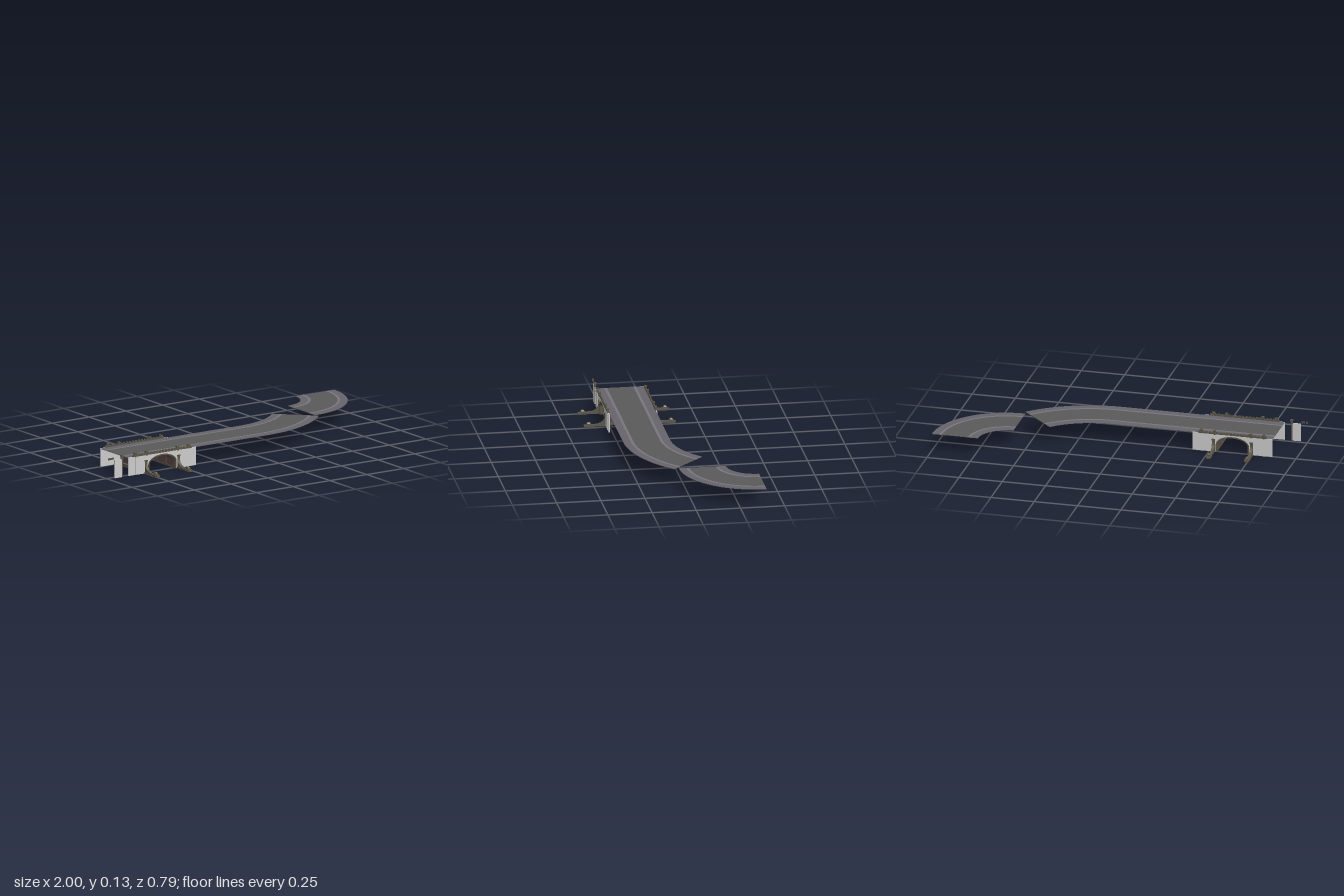
import * as THREE from 'three';

const mat = (color) => new THREE.MeshStandardMaterial({ color, flatShading: true, side: THREE.DoubleSide });
const GREY = mat(0xcccccc), ASPHALT = mat(0x5a5a5a), EDGE = mat(0x67646b), STRIPE = mat(0x77767c);
const STONE = mat(0x5c5648), BRICK = mat(0x5d474a);

const WIDTH = 0.265, DECK = 0.105, CX = -0.635; // road width, road height, bridge centre

function add(parent, name, geometry, material) {
  const mesh = new THREE.Mesh(geometry, material);
  mesh.name = name;
  parent.add(mesh);
  return mesh;
}

// Box given by its limits
function box(parent, name, material, x0, x1, y0, y1, z0, z1) {
  const g = new THREE.BoxGeometry(x1 - x0, y1 - y0, z1 - z0);
  g.translate((x0 + x1) / 2, (y0 + y1) / 2, (z0 + z1) / 2);
  return add(parent, name, g, material);
}

const extrude = (shape, depth) =>
  new THREE.ExtrudeGeometry(shape, { depth, bevelEnabled: false, curveSegments: 14 });

// Road bands across the width: [start, end, material, name]
const BANDS = [
  [0, 0.043, EDGE, 'roadEdge'],
  [0.043, 0.058, STRIPE, 'roadStripe'],
  [0.058, WIDTH - 0.058, ASPHALT, 'roadLane'],
  [WIDTH - 0.058, WIDTH - 0.043, STRIPE, 'roadStripe'],
  [WIDTH - 0.043, WIDTH, EDGE, 'roadEdge'],
];

function curvedRoad(name, cx, cz, inner, sweep) {
  const road = new THREE.Group();
  road.name = name;
  for (const [a, b, material, part] of BANDS) {
    const s = new THREE.Shape();
    const start = -Math.PI / 2;
    s.absarc(cx, -cz, inner + b, start, start + sweep, false);
    s.absarc(cx, -cz, inner + a, start + sweep, start, true);
    const g = extrude(s, 0.003);
    g.rotateX(-Math.PI / 2).translate(0, DECK - 0.003, 0);
    add(road, part, g, material);
  }
  return road;
}

function straightRoad(x0, x1) {
  const road = new THREE.Group();
  road.name = 'straightRoad';
  for (const [a, b, material, part] of BANDS) box(road, part, material, x0, x1, DECK - 0.003, DECK, a, b);
  return road;
}

// Arch outline from left foot to right foot
function archPoints(half, spring, top, y0 = 0) {
  const pts = [[CX - half, y0]];
  for (let i = 0; i <= 16; i++) {
    const a = Math.PI * (1 - i / 16);
    pts.push([CX + half * Math.cos(a), spring + (top - spring) * Math.sin(a)]);
  }
  pts.push([CX + half, y0]);
  return pts.map(([x, y]) => new THREE.Vector2(x, y));
}

// Band following the arch, running from z0 to z1
function archBand(parent, name, material, inset, thick, z0, z1, y0 = 0) {
  const outer = archPoints(0.09 + inset + thick, 0.045, 0.09 + inset + thick, y0);
  const inner = archPoints(0.09 + inset, 0.045, 0.09 + inset, y0).reverse();
  const g = extrude(new THREE.Shape([...outer, ...inner]), z1 - z0);
  g.translate(0, 0, z0);
  add(parent, name, g, material);
}

// Curved foot sweeping out from the wall, with base plate and capped end
function buttress(x) {
  const b = new THREE.Group();
  b.name = 'buttress';
  const s = new THREE.Shape();
  s.moveTo(0, 0);
  s.lineTo(0, 0.07);
  s.lineTo(0.008, 0.062);
  s.bezierCurveTo(0.009, 0.035, 0.025, 0.014, 0.062, 0.012);
  s.lineTo(0.125, 0.01);
  s.lineTo(0.125, 0);
  const g = extrude(s, 0.016);
  g.rotateY(-Math.PI / 2).translate(0.008, 0, 0);
  add(b, 'buttressSweep', g, STONE);
  box(b, 'buttressBase', STONE, -0.01, 0.01, 0.001, 0.009, 0, 0.127);
  box(b, 'buttressFoot', STONE, -0.014, 0.014, 0.001, 0.012, 0.085, 0.118);
  box(b, 'buttressBlock', STONE, -0.008, 0.008, 0.012, 0.02, 0.09, 0.112);
  const cap = new THREE.CylinderGeometry(0.007, 0.014, 0.007, 4);
  cap.rotateY(Math.PI / 4).translate(0, 0.0225, 0.101);
  add(b, 'buttressCap', cap, STONE);
  b.position.x = x;
  return b;
}

// Railing post with a wider cap
function post(parent, x, z) {
  box(parent, 'railingPost', STONE, x - 0.006, x + 0.006, DECK - 0.004, 0.12, z - 0.005, z + 0.005);
  box(parent, 'postCap', STONE, x - 0.008, x + 0.008, 0.118, 0.126, z - 0.007, z + 0.007);
}

// One side of the bridge; its outer face looks along local +z
function bridgeSide() {
  const side = new THREE.Group();
  side.name = 'bridgeSide';
  const outline = [
    new THREE.Vector2(CX - 0.23, 0),
    ...archPoints(0.092, 0.045, 0.092),
    new THREE.Vector2(CX + 0.23, 0),
    new THREE.Vector2(CX + 0.23, DECK),
    new THREE.Vector2(CX - 0.23, DECK),
  ];
  add(side, 'sideWall', extrude(new THREE.Shape(outline), 0.006), GREY);
  archBand(side, 'archTrim', STONE, -0.001, 0.007, -0.002, 0.008);
  for (const s of [-1, 1]) {
    const pier = CX + s * 0.11;
    box(side, 'archPier', STONE, pier - 0.008, pier + 0.008, 0, 0.075, 0, 0.009);
    box(side, 'pierCap', STONE, pier - 0.01, pier + 0.01, 0.068, 0.076, 0, 0.011);
    const strip = CX + s * 0.18;
    box(side, 'wallStrip', GREY, strip - 0.005, strip + 0.005, 0, DECK, 0.004, 0.008);
    side.add(buttress(pier));
    post(side, strip, 0.003);
    post(side, CX + s * 0.105, 0.003);
  }
  // Low railing with a row of small blocks
  box(side, 'railing', STONE, CX - 0.2, CX + 0.2, 0.104, 0.112, -0.002, 0.007);
  for (let i = 0; i < 20; i++) {
    const x = CX - 0.19 + i * 0.02;
    box(side, 'railingBlock', STONE, x - 0.006, x + 0.006, 0.112, 0.118, 0, 0.006);
  }
  return side;
}

function tunnel() {
  const t = new THREE.Group();
  t.name = 'tunnel';
  archBand(t, 'vault', BRICK, 0, 0.003, 0, WIDTH);
  for (let i = 0; i < 4; i++) {
    const z = 0.007 + i * 0.0837;
    archBand(t, 'vaultRib', STONE, -0.002, 0.007, z - 0.006, z + 0.006);
  }
  for (let i = 0; i < 3; i++) {
    const z = 0.049 + i * 0.0837;
    archBand(t, 'vaultPanel', BRICK, 0.002, 0.005, z - 0.034, z + 0.034, 0.07 - 0.025);
  }
  for (const s of [-1, 1]) {
    const x = CX + s * 0.1;
    box(t, 'tunnelPlinth', STONE, x - 0.012, x + 0.012, 0.001, 0.011, 0, WIDTH);
  }
  return t;
}

// Loose wall section and railing pieces beside the bridge
function spareParts() {
  const g = new THREE.Group();
  g.name = 'spareParts';
  box(g, 'spareWall', GREY, -0.958, -0.902, 0, DECK, WIDTH, WIDTH + 0.006);
  box(g, 'sparePillar', STONE, -0.91, -0.902, 0, DECK, WIDTH - 0.001, WIDTH + 0.008);
  post(g, -0.907, WIDTH + 0.003);
  for (const [x0, x1] of [[-1, -0.988], [-0.983, -0.975], [-0.972, -0.964]])
    box(g, 'spareRailing', STONE, x0, x1, 0.109, 0.119, WIDTH - 0.001, WIDTH + 0.006);
  return g;
}

export function createModel() {
  const model = new THREE.Group();
  model.name = 'roadBridge';
  model.add(straightRoad(-0.865, 0.076));
  model.add(curvedRoad('wideBend', 0.076, -0.443, 0.443, Math.PI / 4));
  model.add(curvedRoad('tightBend', 0.57, -0.398, 0.163, Math.PI / 2));

  const front = bridgeSide();
  front.position.z = WIDTH;
  const back = bridgeSide(); // turned round about the bridge centre
  back.rotation.y = Math.PI;
  back.position.x = 2 * CX;
  model.add(front, back, tunnel(), spareParts());
  return model;
}
